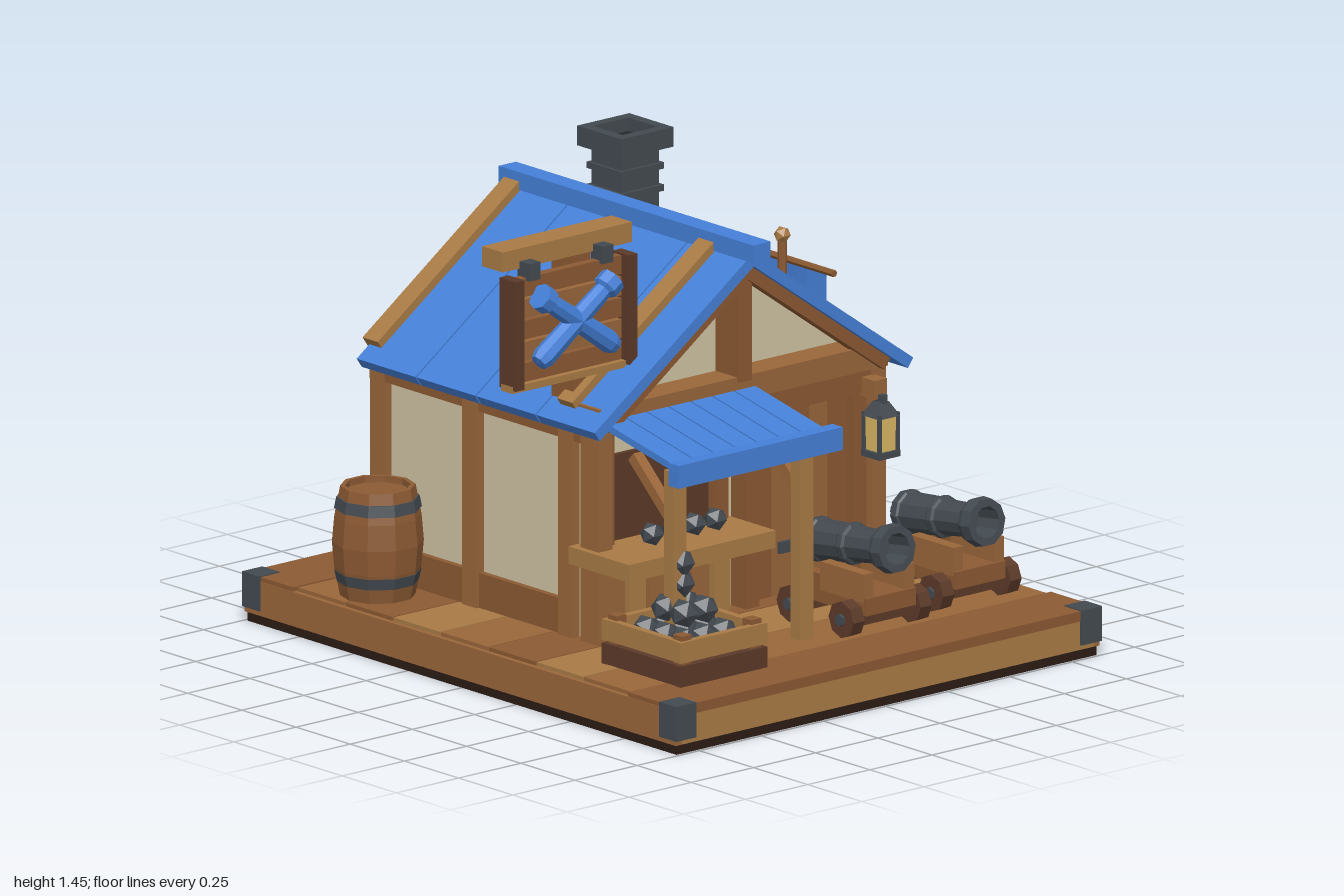
import * as THREE from 'three';

const C = { wood: 0x8c5a33, light: 0xa97b45, mid: 0x99663a, dark: 0x5c3a29, base: 0x2c1c16, plaster: 0xcfc3a2,
  blue: 0x4580d8, iron: 0x434a50, soot: 0x24292c, gold: 0xdcb865, glass: 0x4f7480 };
const ZC = -0.012; // centre line of the house and deck
const mats = {};
const mat = (c) => (mats[c] ??= new THREE.MeshStandardMaterial({ color: c, flatShading: true, side: THREE.DoubleSide }));

function add(parent, name, geo, color, x = 0, y = 0, z = 0) {
  const m = new THREE.Mesh(geo, mat(color));
  m.name = name;
  m.position.set(x, y, z);
  parent.add(m);
  return m;
}
// box given by its extents
const box = (p, name, c, x0, x1, y0, y1, z0, z1) => add(p, name, new THREE.BoxGeometry(x1 - x0, y1 - y0, z1 - z0), c,
  (x0 + x1) / 2, (y0 + y1) / 2, (z0 + z1) / 2);
// slanted board between two points of the xy plane
function strut(p, name, c, x0, y0, x1, y1, thick, z0, z1) {
  const m = add(p, name, new THREE.BoxGeometry(Math.hypot(x1 - x0, y1 - y0), thick, z1 - z0), c,
    (x0 + x1) / 2, (y0 + y1) / 2, (z0 + z1) / 2);
  m.rotation.z = Math.atan2(y1 - y0, x1 - x0);
  return m;
}
const lathe = (pts, n) => new THREE.LatheGeometry(pts.map(([r, y]) => new THREE.Vector2(r, y)), n);
function group(parent, name, x = 0, y = 0, z = 0) {
  const g = new THREE.Group();
  g.name = name;
  g.position.set(x, y, z);
  parent.add(g);
  return g;
}

function buildDeck(root) {
  const g = group(root, 'deck', 0, 0, ZC);
  box(g, 'underside', C.base, -0.99, 0.99, 0, 0.035, -0.845, 0.845);
  for (const s of [-1, 1]) {
    box(g, 'endBeam', C.mid, -0.995, 0.995, 0.03, 0.138, s * 0.84 - 0.012, s * 0.84 + 0.012);
    box(g, 'sideBeam', C.light, s * 0.98 - 0.015, s * 0.98 + 0.015, 0.03, 0.15, -0.85, 0.85);
    box(g, 'edgePlank', C.wood, s * 0.885 - 0.112, s * 0.885 + 0.112, 0.12, 0.152, -0.85, 0.85);
    for (const t of [-1, 1])
      box(g, 'cornerStrap', C.iron, s * 0.962 - 0.04, s * 0.962 + 0.04, 0.045, 0.155, t * 0.815 - 0.041, t * 0.815 + 0.041);
  }
  for (let i = 0; i < 7; i++) {
    const x = -0.66 + i * 0.22;
    box(g, 'plank', [C.wood, C.mid, C.light][(i * 2 + 1) % 3], x - 0.107, x + 0.107, 0.1, 0.15, -0.835, 0.835);
  }
}

function buildHouse(root) {
  const g = group(root, 'house', 0, 0, ZC);
  box(g, 'walls', C.plaster, -0.69, 0.24, 0.15, 0.84, -0.55, 0.55);
  const tri = new THREE.Shape([[-0.57, 0.83], [0.57, 0.83], [0, 1.245]].map(([x, y]) => new THREE.Vector2(x, y)));
  const gable = add(g, 'gables', new THREE.ExtrudeGeometry(tri, { depth: 0.9, bevelEnabled: false }), C.plaster, -0.67);
  gable.rotation.y = Math.PI / 2;
  for (const s of [-1, 1]) {
    const side = (name, c, x0, x1, y0, y1, d) => box(g, name, c, x0, x1, y0, y1, s * 0.55 - d, s * 0.55 + d);
    for (const x of [-0.695, -0.27, 0.172]) side('wallPost', C.mid, x - 0.033, x + 0.033, 0.15, 0.83, 0.03);
    side('sillBeam', C.wood, -0.68, 0.2, 0.15, 0.26, 0.02);
    side('topBeam', C.wood, -0.72, 0.3, 0.77, 0.84, 0.024);
    side('cornerPost', C.mid, 0.24, 0.325, 0.15, 0.83, 0.028);
  }
  box(g, 'gableBeam', C.mid, 0.22, 0.33, 0.82, 0.895, -0.58, 0.58);
  box(g, 'gableBeam', C.wood, -0.73, -0.66, 0.77, 0.85, -0.58, 0.58);
  box(g, 'sillBeam', C.dark, -0.715, -0.66, 0.15, 0.25, -0.55, 0.55);
  box(g, 'kingPost', C.wood, 0.22, 0.34, 0.88, 1.2, -0.025, 0.025);

  // door in the right wall
  const d = group(g, 'door', 0, 0, -0.27);
  for (const s of [-1, 1]) box(d, 'doorJamb', C.wood, 0.23, 0.31, 0.15, 0.78, s * 0.215 - 0.027, s * 0.215 + 0.027);
  box(d, 'doorLintel', C.wood, 0.23, 0.32, 0.75, 0.83, -0.26, 0.26);
  for (let i = 0; i < 5; i++)
    box(d, 'doorPlank', i % 2 ? C.mid : C.wood, 0.23, 0.28, 0.16, 0.75, -0.188 + i * 0.076, -0.117 + i * 0.076);
  for (const y of [0.31, 0.625]) box(d, 'doorStrap', C.iron, 0.27, 0.292, y - 0.018, y + 0.018, -0.13, 0.09);

  // serving hatch and counter
  const h = group(g, 'stall');
  box(h, 'hatch', C.dark, 0.23, 0.255, 0.42, 0.715, 0.06, 0.49);
  for (const z of [0.51, 0.05]) box(h, 'hatchPost', C.wood, 0.23, 0.29, 0.15, 0.8, z - 0.025, z + 0.025);
  box(h, 'counterTop', C.light, 0.21, 0.49, 0.39, 0.445, 0.01, 0.6);
  for (let i = 0; i < 6; i++) box(h, 'counterSlat', i % 2 ? C.mid : C.light, 0.25, 0.31, 0.16, 0.39, 0.035 + i * 0.085, 0.1 + i * 0.085);
  for (let i = 0; i < 4; i++) add(h, 'counterBall', new THREE.IcosahedronGeometry(0.038), C.iron, 0.36, 0.478, 0.14 + i * 0.085);

  // back window
  const w = group(g, 'window', -0.28, 0.605, -0.565);
  box(w, 'pane', C.glass, -0.14, 0.14, -0.14, 0.14, -0.01, 0.01);
  for (const s of [-1, 0, 1]) {
    const r = s ? 0.025 : 0.012;
    box(w, 'windowUpright', C.light, s * 0.145 - r, s * 0.145 + r, -0.15, 0.15, -0.03, 0.01);
    box(w, 'windowRail', C.mid, -0.18, 0.18, s * 0.135 - r, s * 0.135 + r, -0.035, 0.01);
  }
}

function buildRoof(root) {
  const g = group(root, 'roof', 0, 1.295, ZC);
  for (const s of [-1, 1]) {
    const slope = group(g, 'roofSlope');
    slope.rotation.set(0.613, s < 0 ? Math.PI : 0, 0, 'YXZ');
    const slab = (name, c, x0, x1, y0, y1, z0, z1) =>
      box(slope, name, c, Math.min(s * x0, s * x1), Math.max(s * x0, s * x1), y0, y1, z0, z1);
    for (let i = 0; i < 4; i++) slab('roofPlank', C.blue, -0.72 + i * 0.276, -0.45 + i * 0.276, -0.036, 0, 0, 0.783);
    slab('roofUnderlay', C.blue, -0.7, 0.36, -0.036, -0.022, 0, 0.775);
    for (const x of [-0.7, 0.197]) slab('roofBatten', C.light, x - 0.035, x + 0.035, -0.01, 0.026, 0.02, 0.72);
    for (const x of [-0.69, 0.33]) slab('rafter', C.wood, x - 0.025, x + 0.025, -0.075, -0.034, 0.02, 0.72);
  }
  box(g, 'ridgeBeam', C.blue, -0.76, 0.415, -0.02, 0.036, -0.035, 0.035);

  // chimney, with a hollow cap
  const c = group(root, 'chimney', -0.517, 0, -0.275);
  box(c, 'shaft', C.iron, -0.07, 0.07, 1.0, 1.4, -0.075, 0.075);
  for (const y of [1.18, 1.26, 1.33]) box(c, 'chimneyRing', C.iron, -0.08, 0.08, y - 0.01, y + 0.01, -0.086, 0.086);
  for (const s of [-1, 1]) {
    box(c, 'cap', C.iron, s * 0.085 - 0.017, s * 0.085 + 0.017, 1.39, 1.452, -0.105, 0.105);
    box(c, 'cap', C.iron, -0.1, 0.1, 1.39, 1.452, s * 0.088 - 0.017, s * 0.088 + 0.017);
  }
  box(c, 'flue', C.soot, -0.07, 0.07, 1.39, 1.41, -0.075, 0.075);
}

function buildAwning(root) {
  const g = group(root, 'awning');
  for (let i = 0; i < 7; i++) strut(g, 'awningSlat', C.blue, 0.3, 0.85, 0.69, 0.77, 0.022, -0.06 + i * 0.088, 0.022 + i * 0.088);
  box(g, 'awningEdge', C.blue, 0.668, 0.716, 0.733, 0.805, -0.075, 0.585);
  for (const z of [0.55, 0.04]) {
    box(g, 'awningPost', C.light, 0.637, 0.682, 0.15, 0.775, z - 0.026, z + 0.026);
    strut(g, 'awningBrace', C.mid, 0.475, 0.78, 0.66, 0.61, 0.035, z - 0.018, z + 0.018);
  }
}

function buildSign(root) {
  const g = group(root, 'sign');
  box(g, 'signPost', C.wood, 0.1, 0.2, 0.85, 1.37, 0.49, 0.56);
  box(g, 'signBeam', C.light, 0.13, 0.225, 1.362, 1.425, 0.345, 0.865);
  for (let i = 0; i < 5; i++) box(g, 'signSlat', i % 2 ? C.mid : C.wood, 0.225, 0.255, 1.012 + i * 0.067, 1.071 + i * 0.067, 0.4, 0.85);
  for (const z of [0.395, 0.85]) box(g, 'signStile', C.dark, 0.213, 0.288, 1.0, 1.345, z - 0.018, z + 0.018);
  box(g, 'signRail', C.light, 0.22, 0.275, 0.99, 1.012, 0.38, 0.868);
  for (const z of [0.48, 0.775]) {
    box(g, 'signHanger', C.iron, 0.215, 0.27, 1.33, 1.385, z - 0.022, z + 0.022);
  }
  const geo = lathe([[0, -0.19], [0.028, -0.185], [0.036, -0.16], [0.03, 0.1], [0.028, 0.13], [0.042, 0.14], [0.042, 0.18], [0, 0.18]], 8);
  for (const s of [-1, 1]) add(g, 'signEmblem', geo, C.blue, 0.287, 1.18, 0.622).rotation.x = s * 0.96;
}

function buildCannon(root, x, z) {
  const g = group(root, 'cannon', x, 0, z);
  const barrel = add(g, 'cannonBarrel', lathe([[0, -0.225], [0.022, -0.215], [0.026, -0.2], [0.016, -0.185], [0.05, -0.175], [0.07, -0.16],
    [0.07, -0.135], [0.063, -0.13], [0.06, -0.01], [0.066, 0], [0.066, 0.02], [0.056, 0.025], [0.052, 0.14], [0.07, 0.155], [0.078, 0.175],
    [0.074, 0.21], [0.05, 0.21], [0.046, 0.12], [0, 0.12]], 10), C.iron, -0.01, 0.395, 0);
  barrel.rotation.z = -Math.PI / 2 + 0.12;
  box(g, 'carriageBed', C.wood, -0.17, 0.17, 0.22, 0.275, -0.1, 0.1);
  for (const s of [-1, 1]) {
    box(g, 'carriageCheek', C.mid, -0.04, 0.16, 0.26, 0.35, s * 0.082 - 0.02, s * 0.082 + 0.02);
    box(g, 'carriageCheekRear', C.wood, -0.18, -0.04, 0.26, 0.31, s * 0.082 - 0.02, s * 0.082 + 0.02);
    for (const wx of [-0.12, 0.12]) {
      add(g, 'wheel', new THREE.CylinderGeometry(0.058, 0.058, 0.045, 8), C.dark, wx, 0.21, s * 0.135).rotation.x = Math.PI / 2;
      add(g, 'hub', new THREE.CylinderGeometry(0.02, 0.02, 0.06, 6), C.iron, wx, 0.21, s * 0.137).rotation.x = Math.PI / 2;
    }
  }
  for (const wx of [-0.12, 0.12]) box(g, 'axle', C.dark, wx - 0.025, wx + 0.025, 0.185, 0.235, -0.12, 0.12);
}

function buildCask(root) {
  const g = group(root, 'cask', -0.54, 0.155, 0.7);
  add(g, 'caskBody', lathe([[0, 0], [0.115, 0], [0.133, 0.09], [0.14, 0.17], [0.133, 0.25], [0.115, 0.345], [0.1, 0.345], [0.1, 0.325], [0, 0.325]], 10), C.wood);
  for (const [y, r0, r1] of [[0.045, 0.125, 0.133], [0.275, 0.134, 0.127]])
    add(g, 'caskHoop', lathe([[r0 - 0.01, y], [r0, y], [r1, y + 0.035], [r1 - 0.01, y + 0.035]], 10), C.iron);
}

function buildCrate(root) {
  const g = group(root, 'shotCrate', 0.68, 0.155, 0.53);
  box(g, 'crateFloor', C.dark, -0.17, 0.17, 0, 0.03, -0.16, 0.16);
  for (const s of [-1, 1]) {
    [[0.005, 0.07, C.dark], [0.08, 0.145, C.light]].forEach(([y0, y1, c]) => {
      box(g, 'crateSide', c, s * 0.17 - 0.012, s * 0.17 + 0.012, y0, y1, -0.175, 0.175);
      box(g, 'crateEnd', c, -0.182, 0.182, y0, y1, s * 0.16 - 0.012, s * 0.16 + 0.012);
    });
    for (const t of [-1, 1]) box(g, 'crateCorner', C.wood, s * 0.15 - 0.02, s * 0.15 + 0.02, 0, 0.16, t * 0.14 - 0.02, t * 0.14 + 0.02);
  }
  // piled shot in shrinking layers
  const ball = (x, y, z) => add(g, 'shot', new THREE.IcosahedronGeometry(0.047), C.iron, x, y, z);
  for (let i = -1; i <= 1; i++) for (let j = -1; j <= 1; j++) ball(i * 0.085, 0.115, j * 0.08);
  for (let i = -1; i <= 1; i += 2) for (let j = -1; j <= 1; j += 2) ball(i * 0.042, 0.185, j * 0.04);
  ball(-0.02, 0.26, 0);
  ball(-0.02, 0.325, 0);
}

function buildLantern(root) {
  const g = group(root, 'lantern', 0.38, 0, -0.52);
  box(g, 'bracket', C.mid, -0.12, 0.0, 0.74, 0.8, -0.025, 0.025);
  box(g, 'hook', C.iron, -0.02, 0.02, 0.72, 0.755, -0.01, 0.01);
  box(g, 'lanternBase', C.iron, -0.042, 0.042, 0.56, 0.58, -0.042, 0.042);
  add(g, 'lanternGlass', new THREE.CylinderGeometry(0.05, 0.045, 0.11, 4, 1).rotateY(Math.PI / 4), C.gold, 0, 0.635, 0);
  add(g, 'lanternRoof', new THREE.CylinderGeometry(0.025, 0.06, 0.045, 4, 1).rotateY(Math.PI / 4), C.iron, 0, 0.71, 0);
  for (const s of [-1, 1]) for (const t of [-1, 1])
    box(g, 'lanternBar', C.iron, s * 0.036 - 0.005, s * 0.036 + 0.005, 0.57, 0.7, t * 0.036 - 0.005, t * 0.036 + 0.005);
}

function buildBanner(root) {
  const g = group(root, 'banner', -0.34, 0, -0.752);
  add(g, 'pole', new THREE.CylinderGeometry(0.014, 0.016, 0.9, 8), C.wood, 0, 0.59, 0);
  add(g, 'finial', new THREE.IcosahedronGeometry(0.027), C.light, 0, 1.06, 0);
  add(g, 'crossbar', new THREE.CylinderGeometry(0.011, 0.011, 0.44, 6), C.wood, 0, 0.98, -0.018).rotation.z = Math.PI / 2;
  // swallow-tailed cloth with a centre fold
  const cloth = new THREE.PlaneGeometry(2, 1, 8, 5);
  const p = cloth.attributes.position;
  for (let i = 0; i < p.count; i++) {
    const u = p.getX(i), t = 0.5 - p.getY(i), a = Math.abs(u);
    p.setXYZ(i, u * (0.18 - 0.02 * t), 0.975 - t * (0.37 + 0.1 * a), -0.022 - 0.02 * t * Math.cos(u * 5));
  }
  add(g, 'cloth', cloth, C.blue);
}

export function createModel() {
  const root = new THREE.Group();
  root.name = 'cannonWorkshop';
  for (const build of [buildDeck, buildHouse, buildRoof, buildAwning, buildSign, buildCask, buildCrate, buildLantern, buildBanner]) build(root);
  buildCannon(root, 0.58, -0.6);
  buildCannon(root, 0.625, -0.2);
  return root;
}
